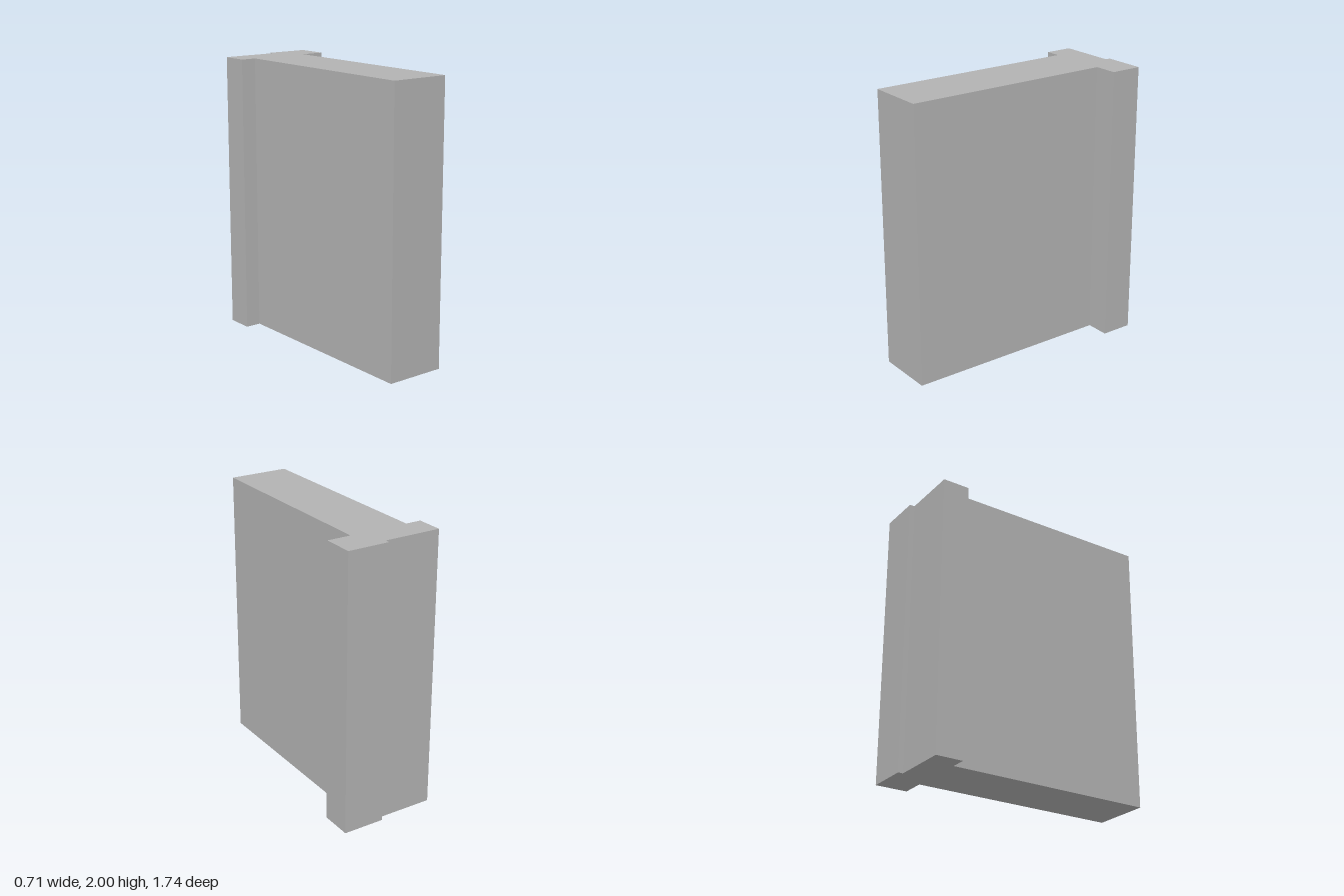
import * as THREE from 'three';

const HEIGHT = 2;

export function createModel() {
  const group = new THREE.Group();
  group.name = 'wallPost';

  const grey = new THREE.MeshStandardMaterial({ color: 0xb2b2b2 });
  grey.name = 'grey';

  // T-shaped plan as [x, z]: long web to the front, stepped flange at the back
  const plan = [
    [-0.245, 0.87], [0.185, 0.87],    // web front
    [0.185, -0.64], [0.357, -0.64],   // flange, +x side
    [0.357, -0.87], [0.055, -0.87],   // raised back face
    [0.055, -0.835], [-0.357, -0.835], // recessed back face
    [-0.357, -0.64], [-0.245, -0.64], // flange, -x side
  ];
  const shape = new THREE.Shape(plan.map(([x, z]) => new THREE.Vector2(x, -z)));

  // Extrude the plan straight up
  const geometry = new THREE.ExtrudeGeometry(shape, { depth: HEIGHT, bevelEnabled: false });
  geometry.rotateX(-Math.PI / 2);

  const post = new THREE.Mesh(geometry, grey);
  post.name = 'webAndSteppedFlange';
  group.add(post);
  return group;
}
